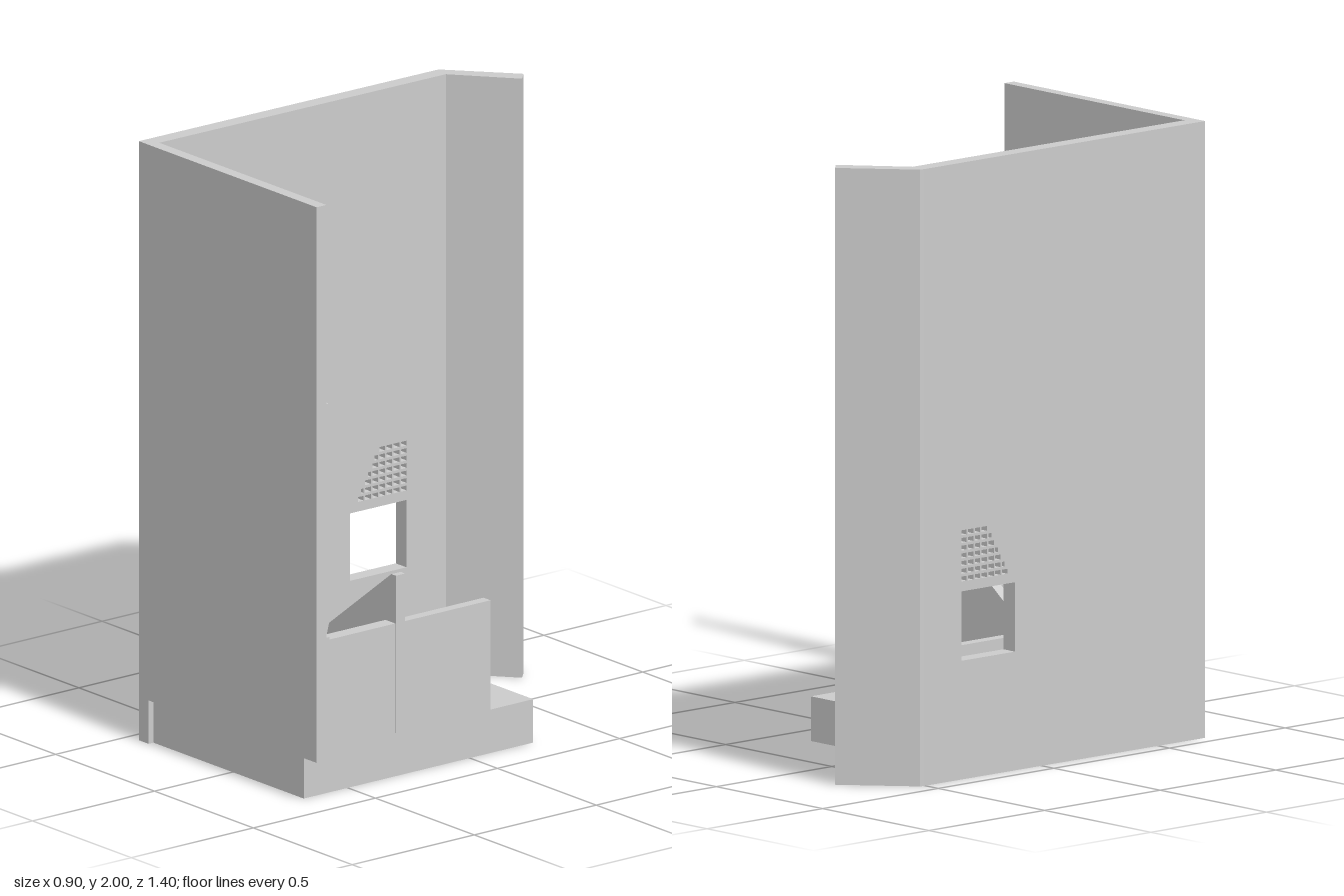
import * as THREE from 'three';

const material = new THREE.MeshStandardMaterial({ color: 0xcccccc, flatShading: true });

const polygon = (pts) => new THREE.Shape(pts.map(([x, y]) => new THREE.Vector2(x, y)));
const hole = (pts) => new THREE.Path(pts.map(([x, y]) => new THREE.Vector2(x, y)));
const extrude = (shape, depth) => new THREE.ExtrudeGeometry(shape, { depth, bevelEnabled: false });

export function createModel() {
  const group = new THREE.Group();

  const add = (name, geometry) => {
    const mesh = new THREE.Mesh(geometry, material);
    mesh.name = name;
    group.add(mesh);
    return mesh;
  };
  // Box given by its limits on each axis
  const box = (name, x0, x1, y0, y1, z0, z1) =>
    add(name, new THREE.BoxGeometry(x1 - x0, y1 - y0, z1 - z0)
      .translate((x0 + x1) / 2, (y0 + y1) / 2, (z0 + z1) / 2));
  // Outline in x,y extruded from z0 to z1
  const upright = (name, pts, z0, z1) =>
    add(name, extrude(polygon(pts), z1 - z0).translate(0, 0, z0));
  // Outline in x,z extruded from y0 to y1
  const plan = (name, pts, y0, y1) =>
    add(name, extrude(polygon(pts.map(([x, z]) => [x, -z])), y1 - y0)
      .rotateX(-Math.PI / 2).translate(0, y0, 0));

  // Floor block
  box('floorBase', -0.4, 0.36, 0, 0.145, -0.26, 0.68);

  // Front wall, notched over the floor block
  upright('frontWall', [[-0.45, 0], [-0.4, 0], [-0.4, 0.145], [0.45, 0.145], [0.45, 2], [-0.45, 2]], 0.66, 0.7);

  // Side wall with a window and a slanted grille of small vents
  const side = polygon([[-0.505, 0], [0.66, 0], [0.66, 2], [-0.505, 2]]);
  side.holes.push(hole([[-0.345, 0.385], [-0.115, 0.385], [-0.115, 0.61], [-0.345, 0.61]]));
  const rows = 7, pitchY = 0.025, pitchZ = 0.029;
  for (let r = 0; r < rows; r++) {
    const y = 0.642 + r * pitchY;
    const limit = -0.14 - 0.095 * (r + 0.5) / rows; // slanted edge of the grille
    for (let z = -0.345; z < limit - 0.008; z += pitchZ) {
      const end = Math.min(z + 0.023, limit);
      side.holes.push(hole([[z, y], [end, y], [end, y + 0.016], [z, y + 0.016]]));
    }
  }
  const sideGeometry = extrude(side, 0.054).rotateY(-Math.PI / 2).translate(-0.396, 0, 0);
  const p = sideGeometry.attributes.position;
  // The wall leans slightly inward toward the back
  for (let i = 0; i < p.count; i++) p.setX(i, p.getX(i) + (0.7 - p.getZ(i)) * 0.0095);
  sideGeometry.computeVertexNormals();
  add('sideWall', sideGeometry);

  // Short wall turned inward at the back
  plan('angledWall', [[-0.4385, -0.505], [-0.3845, -0.505], [-0.195, -0.663], [-0.232, -0.7], [-0.437, -0.52]], 0, 2);

  // Staircase rising toward the open side
  const steps = 10, x0 = -0.135, run = 0.0495, rise = 0.0365;
  const profile = [[x0, 0.145]];
  for (let i = 0; i < steps; i++) {
    const y = 0.145 + rise * (i + 1);
    profile.push([x0 + run * i, y], [x0 + run * (i + 1), y]);
  }
  profile.push([0.36, 0.145]);
  upright('stairs', profile, 0.305, 0.65);

  // Sloping panel beside the stairs
  upright('stairPanel', [[0, 0.145], [0.363, 0.145], [0.363, 0.67], [0.34, 0.67], [0.025, 0.43], [0, 0.34]], 0.267, 0.305);

  // Partitions and floor slab under the stair panel
  box('outerPartition', 0.325, 0.36, 0.145, 0.51, -0.085, 0.267);
  box('innerPartition', -0.038, 0, 0.145, 0.33, -0.085, 0.305);
  plan('floorSlab', [[-0.135, -0.098], [-0.135, 0.305], [-0.01, 0.305], [-0.01, -0.115]], 0.145, 0.155);

  // Skirting and rail on the inside of the front wall
  upright('skirting', [[-0.4, 0.145], [0.45, 0.145], [0.45, 0.555], [0.36, 0.555], [-0.15, 0.19], [-0.4, 0.19]], 0.647, 0.66);
  upright('wallRail', [[-0.4, 1.03], [-0.17, 1.03], [0.36, 1.265], [0.45, 1.265], [0.45, 1.335], [0.36, 1.335], [-0.17, 1.1], [-0.4, 1.1]], 0.65, 0.66);

  return group;
}
